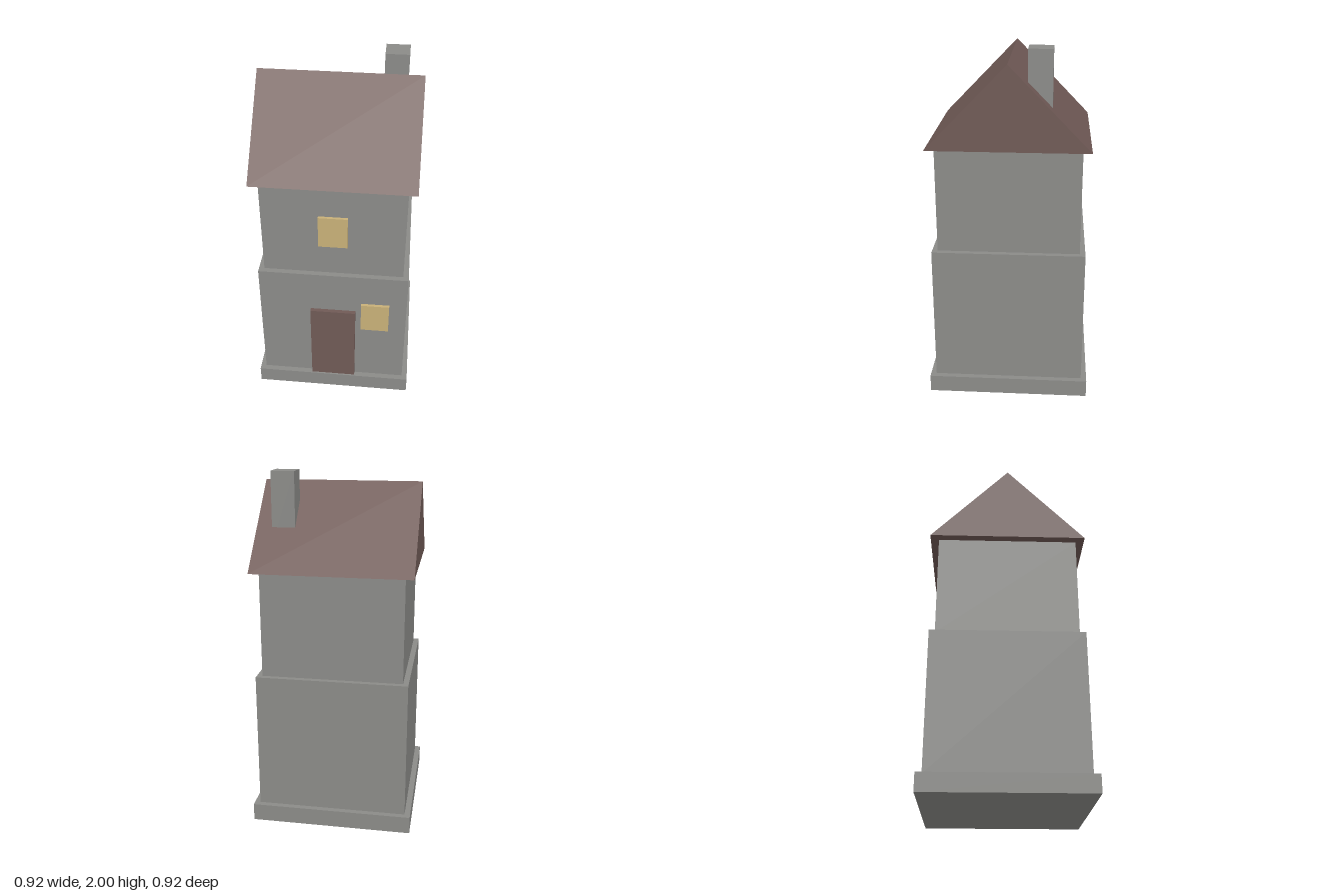
import * as THREE from 'three';

const mat = (name, color) => new THREE.MeshStandardMaterial({ name, color });

export function createModel() {
  const house = new THREE.Group();
  house.name = 'towerHouse';

  const stone = mat('grey stone', 0x8b8b88);
  const brown = mat('dull brown', 0x705a56);
  const glow = mat('warm window', 0xc8b078);

  // Box given by its centre in x and z, and its bottom and top in y
  function block(name, material, width, depth, bottom, top, x = 0, z = 0) {
    const mesh = new THREE.Mesh(new THREE.BoxGeometry(width, top - bottom, depth), material);
    mesh.position.set(x, (bottom + top) / 2, z);
    mesh.name = name;
    house.add(mesh);
  }

  // Stacked stone storeys
  block('plinth', stone, 0.916, 0.916, 0, 0.1);
  block('lowerStorey', stone, 0.852, 0.852, 0.1, 0.888);
  block('upperStorey', stone, 0.79, 0.79, 0.888, 1.48);

  // Gabled roof, a triangle extruded along x
  const halfDepth = 0.442, length = 0.886;
  const gable = new THREE.Shape([
    new THREE.Vector2(-halfDepth, 1.48),
    new THREE.Vector2(halfDepth, 1.48),
    new THREE.Vector2(0, 1.935),
  ]);
  const roofGeometry = new THREE.ExtrudeGeometry(gable, { depth: length, bevelEnabled: false });
  roofGeometry.translate(0, 0, -length / 2).rotateY(Math.PI / 2);
  const roof = new THREE.Mesh(roofGeometry, brown);
  roof.name = 'roof';
  house.add(roof);

  // Chimney on the rear slope
  block('chimney', stone, 0.13, 0.13, 1.6, 2, 0.293, -0.165);

  // Door and windows, standing slightly proud of the front walls
  block('door', brown, 0.262, 0.04, 0.1, 0.627, 0, 0.429);
  block('lowerWindow', glow, 0.162, 0.03, 0.497, 0.69, 0.245, 0.428);
  block('upperWindow', glow, 0.162, 0.03, 1.085, 1.28, 0, 0.396);

  return house;
}
